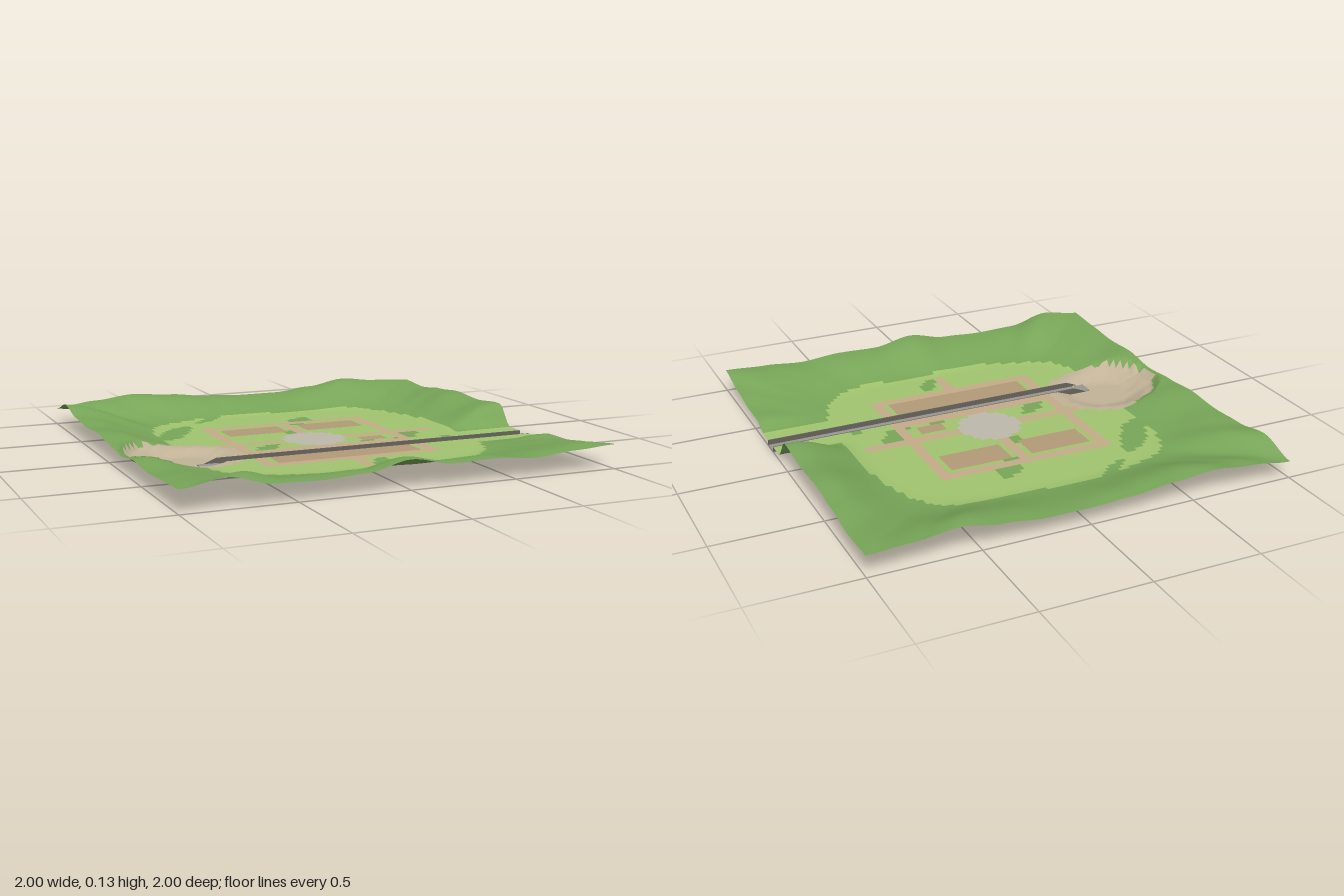
import * as THREE from 'three';

const N = 80, STEP = 2 / N, BASE = 0.028;
const TRACK = { z0: 0.213, z1: 0.297, start: -0.6 };
const PIT = { x: -0.69, z: 0.155, rx: 0.28, rz: 0.25 };

// Height of the outer rim, eleven samples per side from -1 to 1
const RIM = {
  front: [0.1, 0.13, 0.085, 0.08, 0.09, 0.13, 0.095, 0.1, 0.085, 0.1, 0.11],
  back: [0.08, 0.105, 0.125, 0.11, 0.09, 0.08, 0.08, 0.1, 0.13, 0.11, 0.1],
  right: [0.08, 0.13, 0.1, 0.09, 0.1, 0.085, 0.07, 0.09, 0.08, 0.09, 0.1],
  left: [0.1, 0.09, 0.11, 0.125, 0.115, 0.13, 0.1, 0.06, 0.06, 0.08, 0.11],
};

const smooth = (a, b, v) => THREE.MathUtils.smoothstep(v, a, b);
const inBox = (x, z, x0, x1, z0, z1) => x > x0 && x < x1 && z > z0 && z < z1;
const norm4 = (x, z) => Math.pow(x ** 4 + z ** 4, 0.25);

function sample(list, v) {
  const f = THREE.MathUtils.clamp((v + 1) * 5, 0, 10);
  const i = Math.min(9, Math.floor(f));
  return THREE.MathUtils.lerp(list[i], list[i + 1], smooth(0, 1, f - i));
}

function rimHeight(x, z) {
  const m = Math.max(Math.abs(x), Math.abs(z));
  if (Math.abs(z) >= Math.abs(x)) return sample(z > 0 ? RIM.front : RIM.back, x / m);
  return sample(x > 0 ? RIM.left : RIM.right, z / m);
}

const pitDistance = (x, z) => Math.hypot((x - PIT.x) / PIT.rx, (z - PIT.z) / PIT.rz);

function height(x, z) {
  const m = Math.max(Math.abs(x), Math.abs(z));
  const r = norm4(x, z);
  let h = BASE;
  if (r > 0.64) {
    const q = Math.min(1, (r - 0.64) / (r / m - 0.64));
    h += (rimHeight(x, z) - BASE) * smooth(0, 0.88, q);
    h += 0.02 * Math.sin(x * 13 + z * 3) * Math.sin(z * 12 - x * 4) * q * q * (1 - q);
  }
  // Level cutting where the track leaves through the hills
  if (x > 0.5) {
    const keep = z < 0.25 ? 1 - smooth(0.03, 0.13, z) : smooth(0.36, 0.48, z);
    h = BASE + (h - BASE) * keep;
  }
  // Terraced quarry
  const u = pitDistance(x, z);
  if (u < 1) h = Math.min(h, Math.max(0, Math.ceil((u - 0.58) / 0.085)) * 0.009);
  return Math.max(0, h);
}

// Darker grass patches: x, z, half length, half width, angle
const PATCHES = [
  [-0.57, -0.37, 0.18, 0.06, -0.95], [-0.31, -0.64, 0.1, 0.03, -0.6],
  [0.1, -0.43, 0.11, 0.055, -0.9], [-0.02, -0.21, 0.08, 0.03, -0.9],
  [0.44, 0.09, 0.11, 0.05, -0.9], [0.25, 0.1, 0.08, 0.035, -0.6],
  [-0.28, 0.11, 0.09, 0.04, -0.8], [0.57, 0.24, 0.07, 0.03, -0.9],
  [0.08, 0.56, 0.07, 0.03, -0.9],
];
const inPatch = (x, z) => PATCHES.some(([cx, cz, a, b, t]) => {
  const dx = x - cx, dz = z - cz, c = Math.cos(t), s = Math.sin(t);
  return ((dx * c + dz * s) / a) ** 2 + ((dz * c - dx * s) / b) ** 2 < 1;
});

// Footpaths and planting beds: x0, x1, z0, z1
const PATHS = [
  [-0.425, 0.425, -0.43, -0.375], [-0.425, 0.425, 0.15, 0.2], [-0.425, 0.425, 0.425, 0.48],
  [-0.425, -0.375, -0.43, 0.48], [0.375, 0.425, -0.43, 0.48],
  [-0.025, 0.025, -0.43, 0.2], [-0.025, 0.025, 0.48, 0.625], [-0.52, 0.625, -0.025, 0.025],
];
const BEDS = [
  [-0.35, -0.05, -0.35, -0.2], [0.05, 0.345, -0.35, -0.2],
  [0.2, 0.335, 0.05, 0.13], [-0.35, 0.345, 0.3, 0.425],
];

function zone(x, z) {
  const within = (b) => inBox(x, z, ...b);
  if (pitDistance(x, z) < 0.99) return 'quarry';
  if (Math.hypot(x, z) < 0.145) return 'plaza';
  if (PATHS.some(within)) return 'footpaths';
  if (BEDS.some(within)) return 'plantingBeds';
  const wobble = 0.015 * Math.sin(x * 11 + z * 5);
  const lawn = norm4(x, z) < 0.69 + wobble || inBox(x, z, 0.6, 1, 0.125, 0.375);
  return lawn && !inPatch(x, z) ? 'lawn' : 'hills';
}

const COLORS = {
  hills: 0x78a658, lawn: 0xa0c46e, quarry: 0xc2b398,
  plaza: 0xbdb8aa, footpaths: 0xc3ac89, plantingBeds: 0xb39a77,
};

function material(color) {
  return new THREE.MeshStandardMaterial({ color, side: THREE.DoubleSide });
}

// One height grid, its cells shared out to a mesh per ground type
function buildGround() {
  const ground = new THREE.Group();
  ground.name = 'ground';
  const positions = [], all = [], cells = {};
  const line = (j) => {
    const z = -1 + j * STEP;
    if (Math.abs(z - 0.2) < 1e-6) return TRACK.z0;
    return Math.abs(z - 0.3) < 1e-6 ? TRACK.z1 : z;
  };
  for (let j = 0; j <= N; j++) {
    for (let i = 0; i <= N; i++) {
      const x = -1 + i * STEP, z = line(j);
      positions.push(x, height(x, z), z);
    }
  }
  for (let j = 0; j < N; j++) {
    for (let i = 0; i < N; i++) {
      const x = -1 + (i + 0.5) * STEP, z = -1 + (j + 0.5) * STEP;
      if (inBox(x, z, TRACK.start, 1, 0.2, 0.3)) continue;
      const a = j * (N + 1) + i, b = a + 1, c = a + N + 1, d = c + 1;
      const quad = [a, c, b, b, c, d];
      all.push(...quad);
      (cells[zone(x, z)] ??= []).push(...quad);
    }
  }
  const whole = new THREE.BufferGeometry();
  whole.setAttribute('position', new THREE.Float32BufferAttribute(positions, 3));
  whole.setIndex(all);
  whole.computeVertexNormals();
  for (const [name, index] of Object.entries(cells)) {
    const part = new THREE.BufferGeometry();
    part.setAttribute('position', whole.getAttribute('position'));
    part.setAttribute('normal', whole.getAttribute('normal'));
    part.setIndex(index);
    const mesh = new THREE.Mesh(part, material(COLORS[name]));
    mesh.name = name;
    ground.add(mesh);
  }
  return ground;
}

// Sunken channel: flat floor and two upright walls that taper into the quarry
function buildTrack() {
  const track = new THREE.Group();
  track.name = 'sunkenTrack';
  const x0 = -0.66, length = 1 - x0, width = TRACK.z1 - TRACK.z0, thickness = 0.006;
  const floor = new THREE.Mesh(new THREE.BoxGeometry(length, 0.005, width), material(0x999590));
  floor.position.set(x0 + length / 2, 0.0025, (TRACK.z0 + TRACK.z1) / 2);
  floor.name = 'trackFloor';
  track.add(floor);
  const profile = new THREE.Shape([
    [-0.64, 0], [1, 0], [1, BASE], [-0.57, BASE], [-0.62, 0.008],
  ].map(([x, y]) => new THREE.Vector2(x, y)));
  for (const z of [TRACK.z0, TRACK.z1 - thickness]) {
    const geometry = new THREE.ExtrudeGeometry(profile, { depth: thickness, bevelEnabled: false });
    const wall = new THREE.Mesh(geometry, material(0x66625d));
    wall.position.z = z;
    wall.name = 'trackWall';
    track.add(wall);
  }
  return track;
}

export function createModel() {
  const model = new THREE.Group();
  model.name = 'parkLandscape';
  model.add(buildGround(), buildTrack());
  return model;
}
